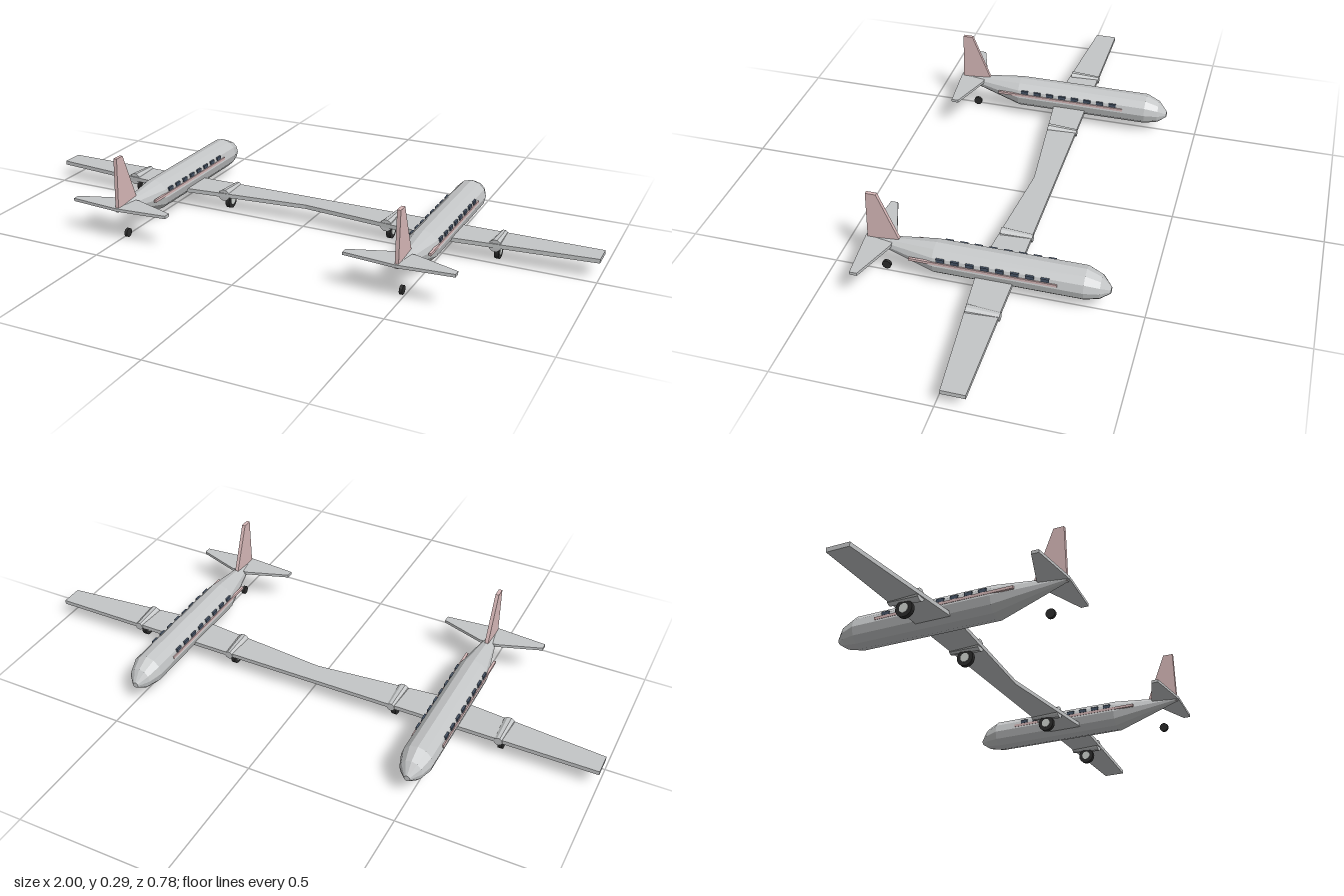
import * as THREE from 'three';

const mat = (name, color, flat = true) => {
  const m = new THREE.MeshStandardMaterial({ color, flatShading: flat });
  m.name = name;
  return m;
};

// Closed body from circular rings [z, centreY, radius], ordered by rising z
function loft(rings, sides) {
  const pos = [], idx = [];
  for (const [z, cy, r] of rings) {
    for (let j = 0; j < sides; j++) {
      const a = (j / sides) * Math.PI * 2;
      pos.push(r * Math.cos(a), cy + r * Math.sin(a), z);
    }
  }
  const last = rings.length - 1;
  const front = pos.length / 3, back = front + 1;
  pos.push(0, rings[0][1], rings[0][0], 0, rings[last][1], rings[last][0]);
  for (let j = 0; j < sides; j++) {
    const k = (j + 1) % sides;
    for (let i = 0; i < last; i++) {
      const a = i * sides + j, b = i * sides + k;
      idx.push(a, b, a + sides, b, b + sides, a + sides);
    }
    idx.push(front, k, j, back, last * sides + j, last * sides + k);
  }
  const g = new THREE.BufferGeometry();
  g.setAttribute('position', new THREE.Float32BufferAttribute(pos, 3));
  g.setIndex(idx);
  g.computeVertexNormals();
  return g;
}

const extrude = (points, depth) => new THREE.ExtrudeGeometry(
  new THREE.Shape(points.map(([x, y]) => new THREE.Vector2(x, y))),
  { depth, bevelEnabled: false });

// Horizontal plate from [x, z] outline, centred on height y
const plate = (points, y, thick) =>
  extrude(points.map(([x, z]) => [x, -z]), thick).rotateX(-Math.PI / 2).translate(0, y - thick / 2, 0);

export function createModel() {
  const body = mat('light grey', 0xc4c6c7);
  const rose = mat('dusty rose', 0xd8b9b9);
  const glass = mat('dark window', 0x455264);
  const rubber = mat('black rubber', 0x2b2b2b);
  const metal = mat('pale hub', 0xcfd3d0);

  const model = new THREE.Group();
  model.name = 'twinFuselageAircraft';
  const add = (parent, name, geo, material, x = 0, y = 0, z = 0) => {
    const m = new THREE.Mesh(geo, material);
    m.name = name;
    m.position.set(x, y, z);
    parent.add(m);
    return m;
  };

  // One wing shared by both hulls: straight leading edge, scalloped trailing edge
  add(model, 'wing', plate([
    [-1, -0.095], [-1, -0.02], [-0.49, 0.028], [0, -0.02],
    [0.49, 0.028], [1, -0.02], [1, -0.095]], 0.064, 0.014), body);

  const fuselageGeo = loft([
    [-0.392, 0.0765, 0.01], [-0.362, 0.084, 0.038], [-0.315, 0.0895, 0.0535],
    [0.16, 0.0895, 0.0535], [0.387, 0.115, 0.007]], 12);
  const nacelleGeo = loft([[-0.098, 0.0635, 0.014], [0.007, 0.063, 0.021]], 10);
  const finGeo = extrude([[0.385, 0.108], [0.379, 0.292], [0.345, 0.292], [0.28, 0.13]], 0.012)
    .rotateY(-Math.PI / 2).translate(0.006, 0, 0);
  const tailGeo = plate([
    [-0.178, 0.352], [-0.178, 0.376], [0, 0.392], [0.178, 0.376],
    [0.178, 0.352], [0.03, 0.3], [-0.03, 0.3]], 0.118, 0.01);
  const wheelGeo = (r, w) => new THREE.CylinderGeometry(r, r, w, 20).rotateZ(Math.PI / 2);
  const tyreGeo = wheelGeo(0.028, 0.015);
  const hubGeo = wheelGeo(0.015, 0.018);
  const tailWheelGeo = wheelGeo(0.015, 0.01);
  const windowGeo = new THREE.BoxGeometry(0.008, 0.012, 0.026);
  const stripeGeo = new THREE.BoxGeometry(0.008, 0.009, 0.47);

  for (const side of [-1, 1]) {
    const plane = new THREE.Group();
    plane.name = side < 0 ? 'rightHull' : 'leftHull';
    plane.position.x = side * 0.49;
    model.add(plane);

    add(plane, 'fuselage', fuselageGeo, body);
    add(plane, 'fin', finGeo, rose);
    add(plane, 'tailplane', tailGeo, body);
    add(plane, 'tailWheel', tailWheelGeo, rubber, 0, 0.015, 0.331);

    for (const s of [-1, 1]) {
      // Window row and cheat line
      for (let i = 0; i < 8; i++) {
        add(plane, 'window', windowGeo, glass, s * 0.0475, 0.112, 0.134 - i * 0.0473);
      }
      add(plane, 'stripe', stripeGeo, rose, s * 0.0495, 0.1, 0);

      // Engine pod with its wheel
      add(plane, 'nacelle', nacelleGeo, body, s * 0.185);
      add(plane, 'tyre', tyreGeo, rubber, s * 0.185, 0.028, -0.044);
      add(plane, 'hub', hubGeo, metal, s * 0.185, 0.028, -0.044);
    }
  }
  return model;
}
